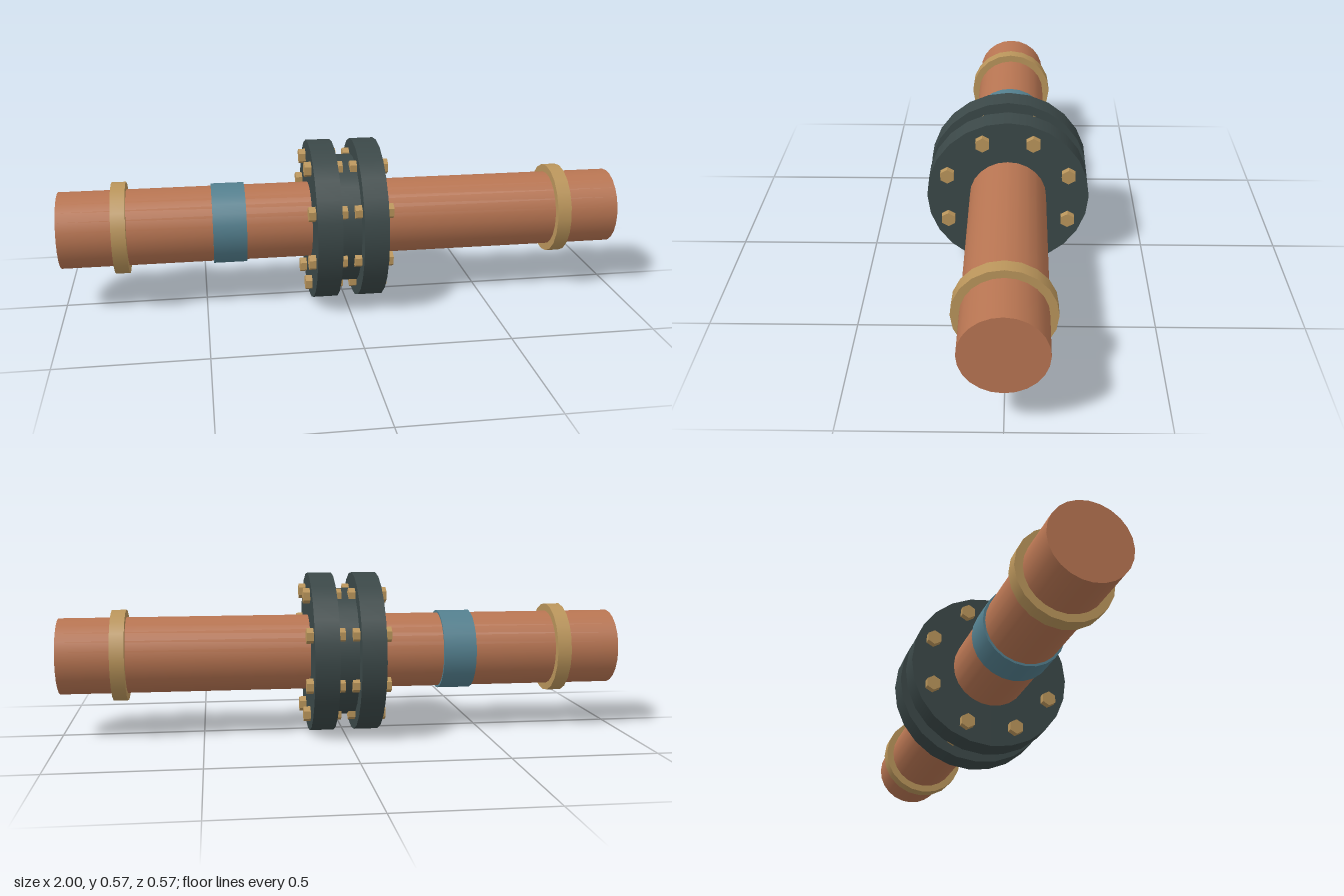
import * as THREE from 'three';

const mat = (name, color) => {
  const m = new THREE.MeshStandardMaterial({ color });
  m.name = name;
  return m;
};

export function createModel() {
  const copper = mat('copper', 0xb87552);
  const brass = mat('brass', 0xba955b);
  const iron = mat('dark iron', 0x3b4848);
  const blue = mat('blue band', 0x54808f);

  const model = new THREE.Group();
  model.name = 'flangedPipe';
  const axis = new THREE.Group();
  axis.name = 'pipeAssembly';
  axis.position.y = 0.287;
  model.add(axis);

  // Solid disc or rod lying along x, with one corner pointing up
  const rod = (name, material, radius, x0, x1, sides, y = 0, z = 0) => {
    const geo = new THREE.CylinderGeometry(radius, radius, x1 - x0, sides);
    geo.rotateY(Math.PI / 2).rotateZ(Math.PI / 2);
    const mesh = new THREE.Mesh(geo, material);
    mesh.name = name;
    mesh.position.set((x0 + x1) / 2, y, z);
    axis.add(mesh);
    return mesh;
  };

  // Hexagonal bolt part with crisp sides
  const hex = (name, radius, x0, x1, y, z) => {
    const mesh = rod(name, brass, radius, x0, x1, 6, y, z);
    mesh.geometry = mesh.geometry.toNonIndexed();
    mesh.geometry.computeVertexNormals();
  };

  // Pipe and its marking band
  rod('pipe', copper, 0.135, -1, 1, 24);
  rod('markingBand', blue, 0.143, -0.47, -0.353, 24);

  // Gasket between the flanges
  rod('gasket', iron, 0.23, -0.037, 0.037, 24);

  // Mirrored collars, flanges, bolt heads and nuts
  for (const [side, s] of [['left', 1], ['right', -1]]) {
    const span = (a, b) => (s > 0 ? [a, b] : [-b, -a]);
    rod(`${side}Collar`, brass, 0.162, ...span(0.765, 0.815), 20);
    rod(`${side}Flange`, iron, 0.286, ...span(0.037, 0.123), 24);
    for (let i = 0; i < 8; i++) {
      const a = ((i + 0.5) * Math.PI) / 4;
      const y = 0.2295 * Math.cos(a), z = 0.2295 * Math.sin(a);
      hex(`${side}BoltHead${i + 1}`, 0.027, ...span(0.12, 0.147), y, z);
      hex(`${side}InnerNut${i + 1}`, 0.025, ...span(0.013, 0.04), y, z);
    }
  }
  return model;
}
